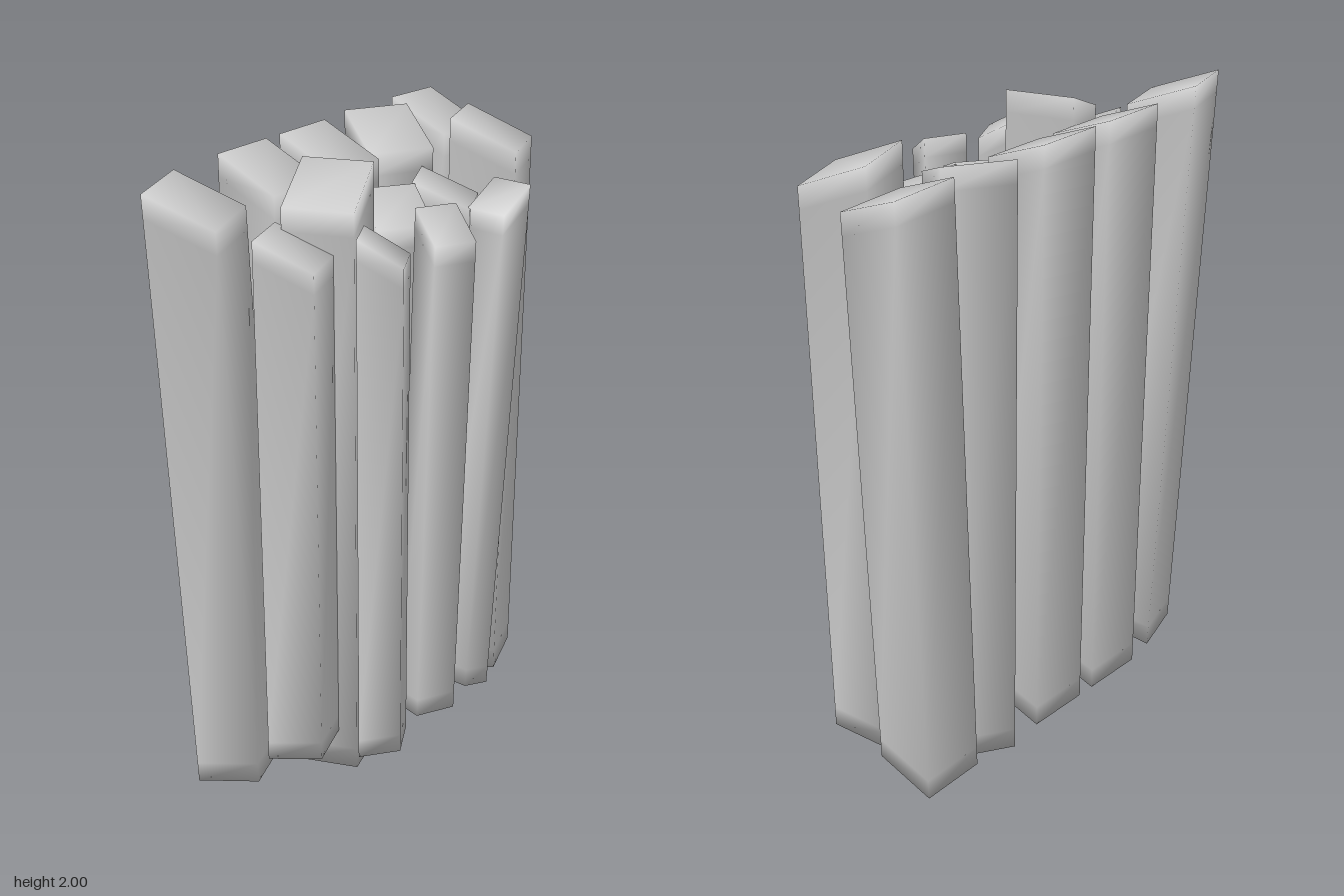
import * as THREE from 'three';
import { mergeVertices } from 'three/addons/utils/BufferGeometryUtils.js';

const material = new THREE.MeshStandardMaterial({ color: 0xcccccc });

// Square post, both ends cut on a slant: the back (-z) side is longer than the front.
function postGeometry(width, scale) {
  let g = new THREE.BoxGeometry(width, 2, width, 1, 3, 1);
  g.deleteAttribute('uv');
  g.deleteAttribute('normal');
  g = mergeVertices(g); // shared corners give the soft, pillowy shading
  const p = g.attributes.position;
  for (let i = 0; i < p.count; i++) {
    const front = p.getZ(i) > 0, up = p.getY(i) > 0;
    const inset = Math.abs(p.getY(i)) > 0.9 ? 0 : 0.07; // support loop near each end
    const end = up ? (front ? 0.905 : 0.993) : (front ? 0.95 : 0.995);
    p.setY(i, (up ? 1 : -1) * (end - inset) * scale);
  }
  g.computeVertexNormals();
  return g;
}

const sizes = {
  large: postGeometry(0.212, 1),
  medium: postGeometry(0.178, 0.86),
  thin: postGeometry(0.132, 0.86),
};

// Each post: name, size, bottom x z, top x z, turn in degrees
const posts = [
  ['backPost1', 'large', -0.487, -0.18, -0.583, -0.18, 19],
  ['backPost2', 'large', -0.215, -0.225, -0.215, -0.225, 0],
  ['backPost3', 'large', 0.057, -0.225, 0.057, -0.225, 0],
  ['backPost4', 'large', 0.33, -0.21, 0.33, -0.21, -30],
  ['backPost5', 'large', 0.545, -0.225, 0.61, -0.225, 0],
  ['middlePost1', 'medium', -0.427, 0.042, -0.427, 0.042, 20],
  ['middlePost2', 'large', -0.248, 0.017, -0.248, 0.017, -67],
  ['middlePost3', 'medium', 0.04, 0.04, 0.04, 0.04, -34],
  ['middlePost4', 'medium', 0.287, 0.042, 0.287, 0.042, 27],
  ['middlePost5', 'large', 0.513, 0.037, 0.54, 0.035, 20],
  ['frontPost1', 'thin', -0.27, 0.233, -0.27, 0.233, 29],
  ['frontPost2', 'thin', -0.022, 0.222, -0.005, 0.253, -27],
  ['frontPost3', 'thin', 0.18, 0.215, 0.325, 0.215, -90],
];

export function createModel() {
  const group = new THREE.Group();
  group.name = 'postCluster';
  const up = new THREE.Vector3(0, 1, 0);
  for (const [name, size, bx, bz, tx, tz, turn] of posts) {
    const mesh = new THREE.Mesh(sizes[size], material);
    mesh.name = name;
    // Lean from the bottom centre to the top centre, after turning about the post's own axis
    const lean = new THREE.Vector3(tx - bx, size === 'large' ? 1.93 : 1.66, tz - bz).normalize();
    const yaw = new THREE.Quaternion().setFromAxisAngle(up, THREE.MathUtils.degToRad(turn));
    mesh.quaternion.setFromUnitVectors(up, lean).multiply(yaw);
    mesh.position.set((bx + tx) / 2, 1.005, (bz + tz) / 2);
    group.add(mesh);
  }
  return group;
}
